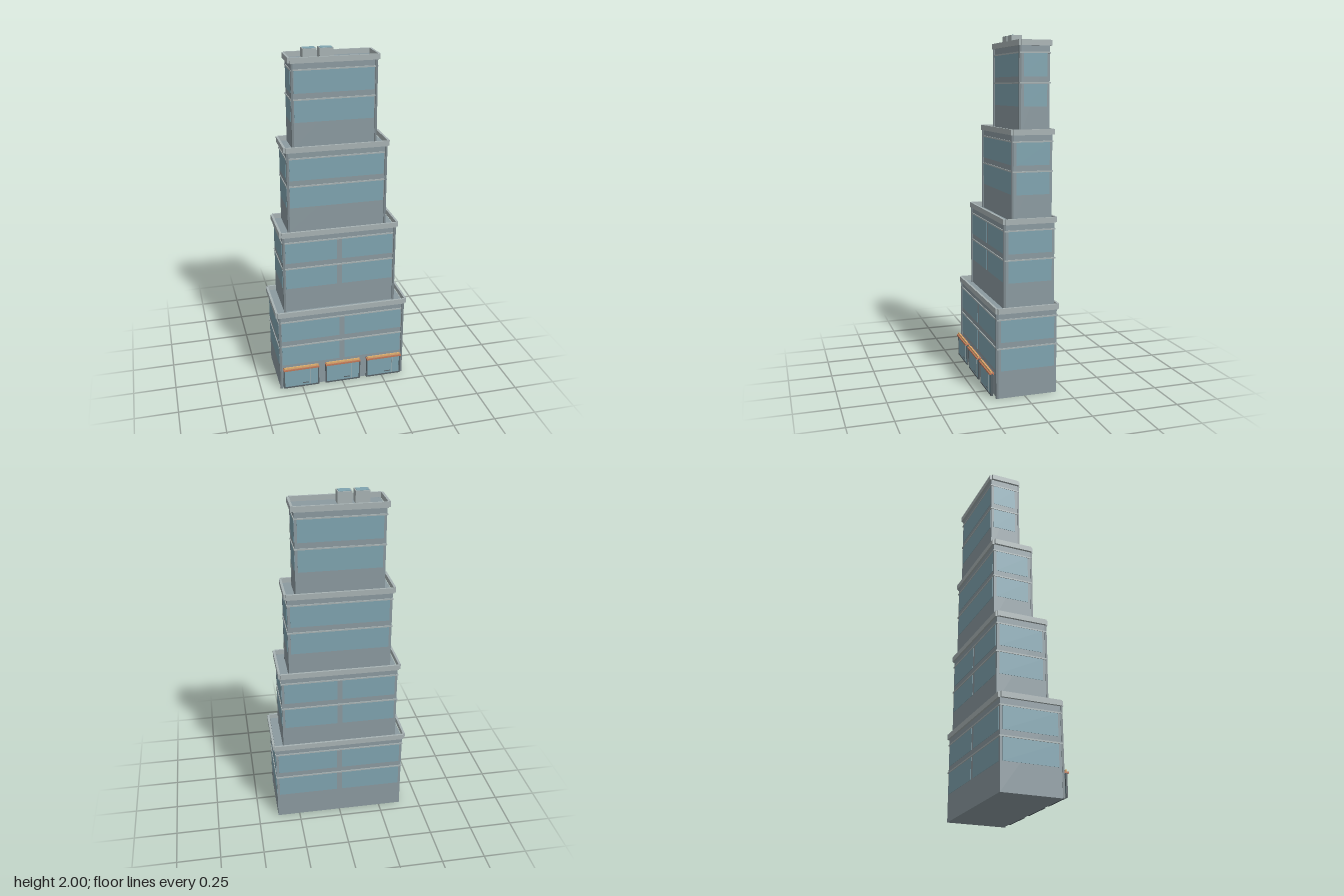
import * as THREE from 'three';

const mat = (color) => new THREE.MeshStandardMaterial({ color });
const M = {
  wall: mat(0x8b9aa0), glass: mat(0x7fa4b0), stone: mat(0xa8b3b4), post: mat(0x7c888d),
  awning: mat(0xc07a5a), trim: mat(0xe2b070), frame: mat(0x566166),
};

// Box given by its min and max on each axis
function box(parent, name, material, x0, x1, y0, y1, z0, z1) {
  const mesh = new THREE.Mesh(new THREE.BoxGeometry(x1 - x0, y1 - y0, z1 - z0), material);
  mesh.position.set((x0 + x1) / 2, (y0 + y1) / 2, (z0 + z1) / 2);
  mesh.name = name;
  parent.add(mesh);
  return mesh;
}

const STEP = 0.481, BACK = -0.188, WALL = 0.012;

// One setback storey block: walls, window bands, ledges, corner posts, parapet
function tier(index, cx, half, front, bays) {
  const g = new THREE.Group();
  g.name = `tier${index + 1}`;
  g.position.set(cx, index * STEP, 0);
  const w = half - 0.005, top = 0.489;
  box(g, 'walls', M.wall, -w, w, 0, top, BACK, front);

  // Window bands on all four sides
  const e = 0.002;
  for (const [y0, y1] of [[0.157, 0.28], [0.32, 0.447]]) {
    const span = (2 * w - 0.03) / bays;
    for (let i = 0; i < bays; i++) {
      const gap = bays > 1 ? 0.015 : 0;
      const x0 = -w + 0.015 + i * span + (i > 0 ? gap : 0);
      const x1 = -w + 0.015 + (i + 1) * span - (i < bays - 1 ? gap : 0);
      box(g, 'frontWindow', M.glass, x0, x1, y0, y1, front - 0.004, front + e);
      box(g, 'backWindow', M.glass, x0, x1, y0, y1, BACK - e, BACK + 0.004);
    }
    for (const s of [-1, 1]) {
      const pane = box(g, 'sideWindow', M.glass, -0.003, 0.003, y0, y1, BACK + 0.015, front - 0.02);
      pane.position.x = s * (w - 0.001);
    }
  }

  // Thin ledges wrapping the walls
  for (const y of [0.285, 0.449]) {
    box(g, 'ledge', M.stone, -w - 0.004, w + 0.004, y - 0.004, y + 0.004, BACK - 0.005, front + 0.005);
  }

  // Front corner posts
  for (const s of [-1, 1]) {
    const post = box(g, 'cornerPost', M.post, -0.006, 0.006, 0, top, front - 0.004, front + 0.008);
    post.position.x = s * (w - 0.004);
  }

  // Parapet rails, notched at the corners
  const p0 = 0.486, p1 = 0.517;
  box(g, 'frontParapet', M.stone, -half, half, p0, p1, front, front + WALL);
  box(g, 'backParapet', M.stone, -half, half, p0, p1, BACK - WALL, BACK);
  box(g, 'leftParapet', M.stone, half - 0.001, half + WALL, p0, p1, BACK, front);
  box(g, 'rightParapet', M.stone, -half - WALL, -half + 0.001, p0, p1, BACK, front);
  return g;
}

// Shopfront: framed glazing with a door line and an awning
function shop(cx) {
  const g = new THREE.Group();
  g.name = 'shopfront';
  g.position.x = cx;
  const h = 0.105;
  box(g, 'shopGlass', M.glass, -h, h, 0.018, 0.136, 0.183, 0.187);
  for (const s of [-1, 1]) {
    const side = box(g, 'shopJamb', M.frame, -0.004, 0.004, 0.014, 0.14, 0.18, 0.19);
    side.position.x = s * h;
  }
  box(g, 'shopSill', M.frame, -h, h, 0.012, 0.02, 0.18, 0.19);
  box(g, 'shopHead', M.frame, -h, h, 0.132, 0.138, 0.157, 0.19);
  box(g, 'doorMullion', M.stone, 0.055, 0.058, 0.02, 0.132, 0.185, 0.189);
  box(g, 'doorHandle', M.frame, 0.008, 0.044, 0.034, 0.038, 0.186, 0.191);
  box(g, 'awning', M.awning, -0.109, 0.109, 0.136, 0.145, 0.172, 0.199);
  box(g, 'awningTrim', M.trim, -0.104, 0.104, 0.143, 0.156, 0.184, 0.191);
  return g;
}

export function createModel() {
  const model = new THREE.Group();
  model.name = 'steppedTower';

  // Stacked tiers: centre x, half width, front z, window bays
  [[0, 0.387, 0.158, 2], [-0.001, 0.341, 0.1, 2], [-0.001, 0.295, 0.04, 1], [-0.002, 0.248, -0.018, 1]]
    .forEach((t, i) => model.add(tier(i, ...t)));

  // Shopfronts along the street
  for (const x of [-0.259, -0.001, 0.256]) model.add(shop(x));

  // Rooftop plant units
  for (const x of [-0.133, -0.038]) {
    const unit = new THREE.Group();
    unit.name = 'rooftopUnit';
    unit.position.x = x;
    box(unit, 'unitCase', M.stone, -0.039, 0.039, 1.93, 1.998, -0.108, -0.046);
    box(unit, 'unitLid', M.glass, -0.033, 0.033, 1.99, 2, -0.102, -0.052);
    model.add(unit);
  }
  return model;
}
